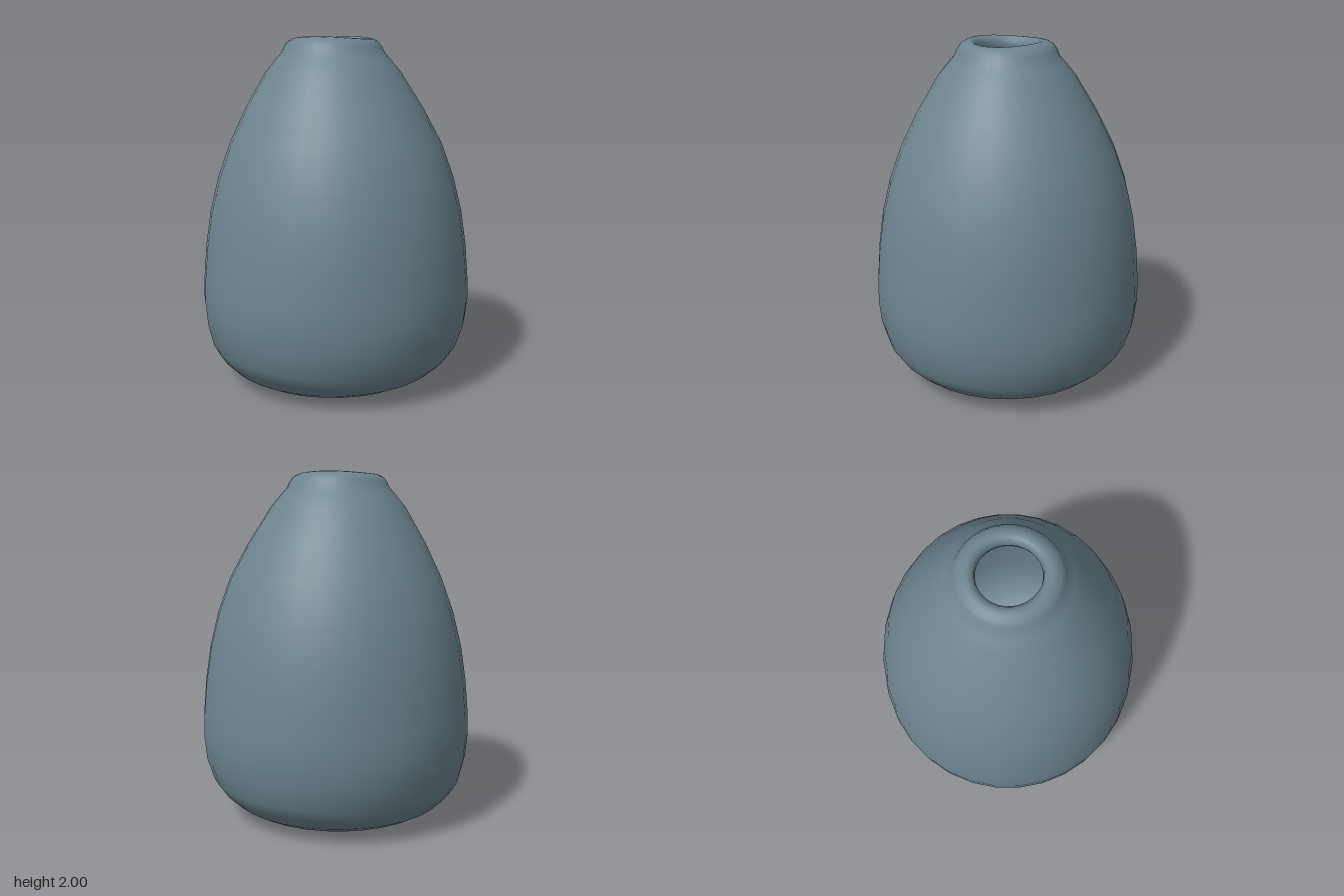
import * as THREE from 'three';

export function createModel() {
  const model = new THREE.Group();
  model.name = 'vase';

  // Outer wall [radius, height]: dimpled underside, belly, shoulder, collar
  const outer = [
    [0, 0.05], [0.1, 0.045], [0.2, 0.025], [0.29, 0.008], [0.38, 0.003],
    [0.46, 0.017], [0.54, 0.04], [0.62, 0.083], [0.69, 0.15], [0.735, 0.22],
    [0.772, 0.35], [0.785, 0.48], [0.782, 0.6], [0.765, 0.8], [0.735, 1.0],
    [0.685, 1.2], [0.612, 1.4], [0.51, 1.6], [0.388, 1.8], [0.33, 1.87],
    [0.295, 1.91], [0.28, 1.945], [0.26, 1.972], [0.23, 1.988],
  ];
  // Rolled lip, throat and hollow inside, ending at the floor
  const inner = [
    [0.205, 1.992], [0.185, 1.985], [0.172, 1.965], [0.168, 1.935],
    [0.18, 1.9], [0.22, 1.86], [0.32, 1.78], [0.45, 1.58], [0.55, 1.38],
    [0.62, 1.18], [0.67, 0.98], [0.7, 0.78], [0.715, 0.5], [0.7, 0.35],
    [0.65, 0.23], [0.54, 0.13], [0.38, 0.08], [0.2, 0.09], [0, 0.11],
  ];
  const profile = [...outer, ...inner].map(([r, y]) => new THREE.Vector2(r, y));
  const geometry = new THREE.LatheGeometry(profile, 32);

  // Hand-thrown unevenness: axis drifts at the ends, lip rises front and back
  const p = geometry.attributes.position;
  for (let i = 0; i < p.count; i++) {
    const x = p.getX(i), y = p.getY(i), z = p.getZ(i);
    const drift = 0.012 * Math.max(THREE.MathUtils.smoothstep(y, 1.3, 1.9),
      1 - THREE.MathUtils.smoothstep(y, 0, 0.4));
    const r2 = x * x + z * z || 1;
    const lip = 0.006 * THREE.MathUtils.smoothstep(y, 1.9, 1.99) * (z * z - x * x) / r2;
    p.setXYZ(i, x - drift, y + lip, z + drift);
  }

  const vase = new THREE.Mesh(geometry, new THREE.MeshStandardMaterial({ color: 0x6c848f }));
  vase.name = 'vaseBody';
  model.add(vase);
  return model;
}
